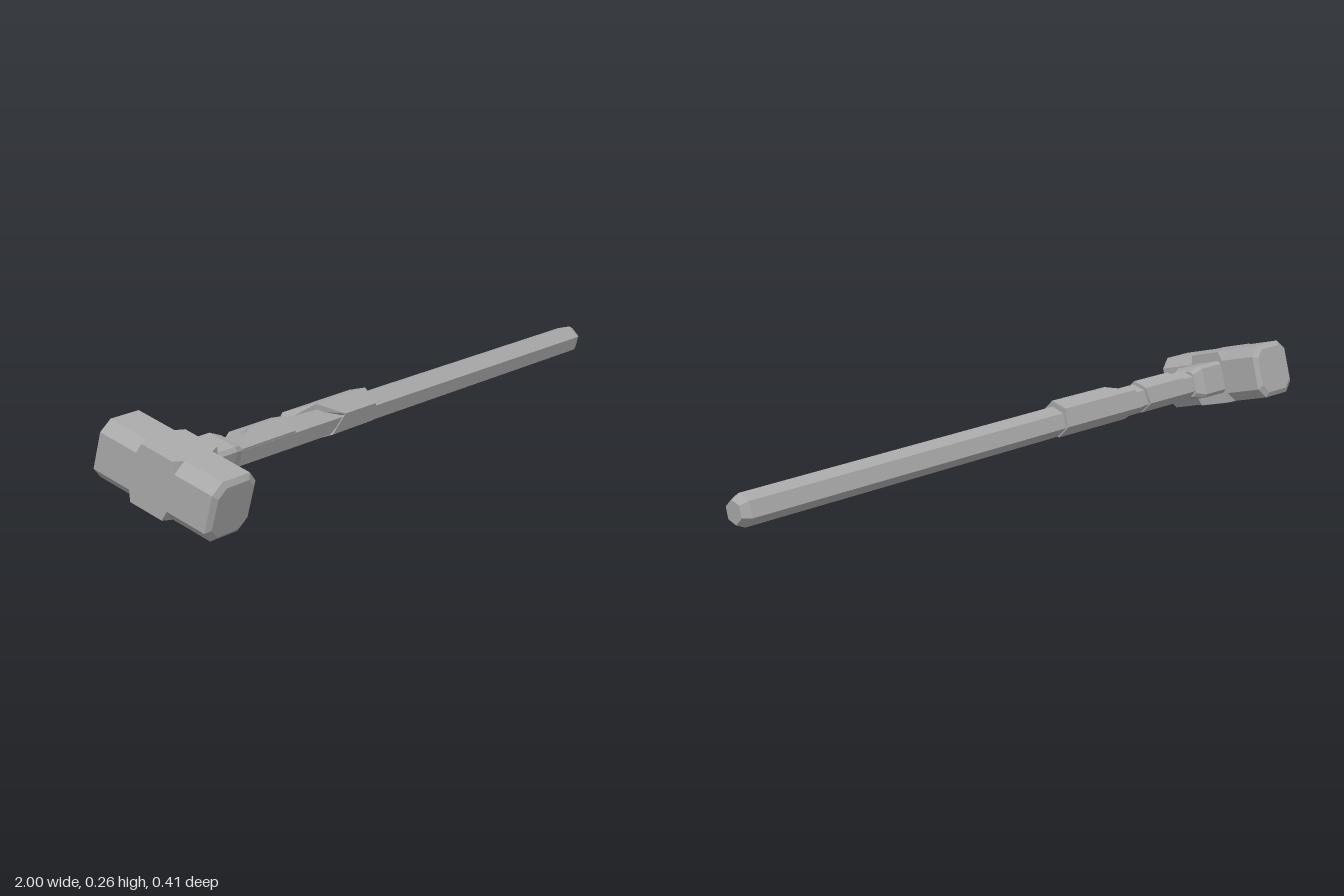
import * as THREE from 'three';

const steel = new THREE.MeshStandardMaterial({ color: 0xa8a8a8 });
steel.name = 'grey';

// Flat-shaded skin over rings of [x, y, z] running along +x
function loft(name, rings, caps = true) {
  const pos = [];
  const n = rings[0].length;
  for (let i = 0; i < rings.length - 1; i++) {
    const a = rings[i], b = rings[i + 1];
    for (let j = 0; j < n; j++) {
      const k = (j + 1) % n;
      pos.push(...a[j], ...a[k], ...b[k], ...a[j], ...b[k], ...b[j]);
    }
  }
  if (caps) {
    const first = rings[0], last = rings[rings.length - 1];
    for (let j = 1; j < n - 1; j++) {
      pos.push(...first[0], ...first[j + 1], ...first[j]);
      pos.push(...last[0], ...last[j], ...last[j + 1]);
    }
  }
  const geo = new THREE.BufferGeometry();
  geo.setAttribute('position', new THREE.Float32BufferAttribute(pos, 3));
  geo.computeVertexNormals();
  const mesh = new THREE.Mesh(geo, steel);
  mesh.name = name;
  return mesh;
}

// Rectangle with cut corners: half height h, half width w, corner cut c
function octagon(x, h, w, c) {
  return [
    [h, c - w], [h, w - c], [h - c, w], [c - h, w],
    [-h, w - c], [-h, c - w], [c - h, -w], [h - c, -w],
  ].map(([y, z]) => [x, y, z]);
}

// Tilted hexagon; x is one number or one number per corner
function hexagon(x, r, cy, cz) {
  return Array.from({ length: 6 }, (_, k) => {
    const a = THREE.MathUtils.degToRad(15 + 60 * k);
    return [Array.isArray(x) ? x[k] : x, cy + r * Math.cos(a), cz + r * Math.sin(a)];
  });
}

// Wrap around the handle with slanted ends
function wrap(name, start, end, r, cy, cz) {
  return loft(name, [
    hexagon(start, 0.036, 0.133, -0.004), hexagon(start, r, cy, cz),
    hexagon(end, r, cy, cz), hexagon(end, 0.036, 0.133, -0.004),
  ], false);
}

export function createModel() {
  const model = new THREE.Group();
  model.name = 'sledgehammer';
  const tilt = 0.273;

  // Head: bevelled striking ends, square middle block
  const half = [[0.053, 0.081, 0.08, 0.001], [0.063, 0.081, 0.08, 0.03],
    [0.185, 0.081, 0.08, 0.03], [0.195, 0.067, 0.066, 0.025]];
  const head = loft('head', [
    ...half.slice().reverse().map(([x, h, w, c]) => octagon(-x, h, w, c)),
    ...half.map(([x, h, w, c]) => octagon(x, h, w, c)),
  ]);
  const s = Math.sin(tilt), c = Math.cos(tilt);
  head.quaternion.setFromRotationMatrix(new THREE.Matrix4().makeBasis(
    new THREE.Vector3(0, s, -c), new THREE.Vector3(0, c, s), new THREE.Vector3(1, 0, 0)));
  head.position.set(-0.92, 0.129, 0);

  // Collar between head and handle
  const collar = loft('collar', [
    octagon(-0.86, 0.05, 0.053, 0.01), octagon(-0.75, 0.05, 0.053, 0.01),
    octagon(-0.715, 0.039, 0.042, 0.01),
  ]);
  collar.rotation.x = tilt;
  collar.position.set(0, 0.132, -0.002);

  // Six-sided handle with a bevelled butt
  const handle = loft('handle', [
    hexagon(-0.8, 0.044, 0.134, -0.004), hexagon(-0.14, 0.044, 0.129, -0.005),
    hexagon(0.975, 0.044, 0.121, -0.006), hexagon(1, 0.033, 0.121, -0.006),
  ]);

  // Two slanted wraps
  const upperWrap = wrap('upperWrap',
    [-0.64, -0.71, -0.72, -0.72, -0.7, -0.66],
    [-0.49, -0.49, -0.48, -0.5, -0.5, -0.49], 0.049, 0.137, -0.008);
  const lowerWrap = wrap('lowerWrap',
    [-0.36, -0.28, -0.32, -0.42, -0.46, -0.44],
    [-0.14, -0.14, -0.14, -0.14, -0.14, -0.14], 0.054, 0.137, -0.007);

  model.add(head, collar, handle, upperWrap, lowerWrap);
  return model;
}
